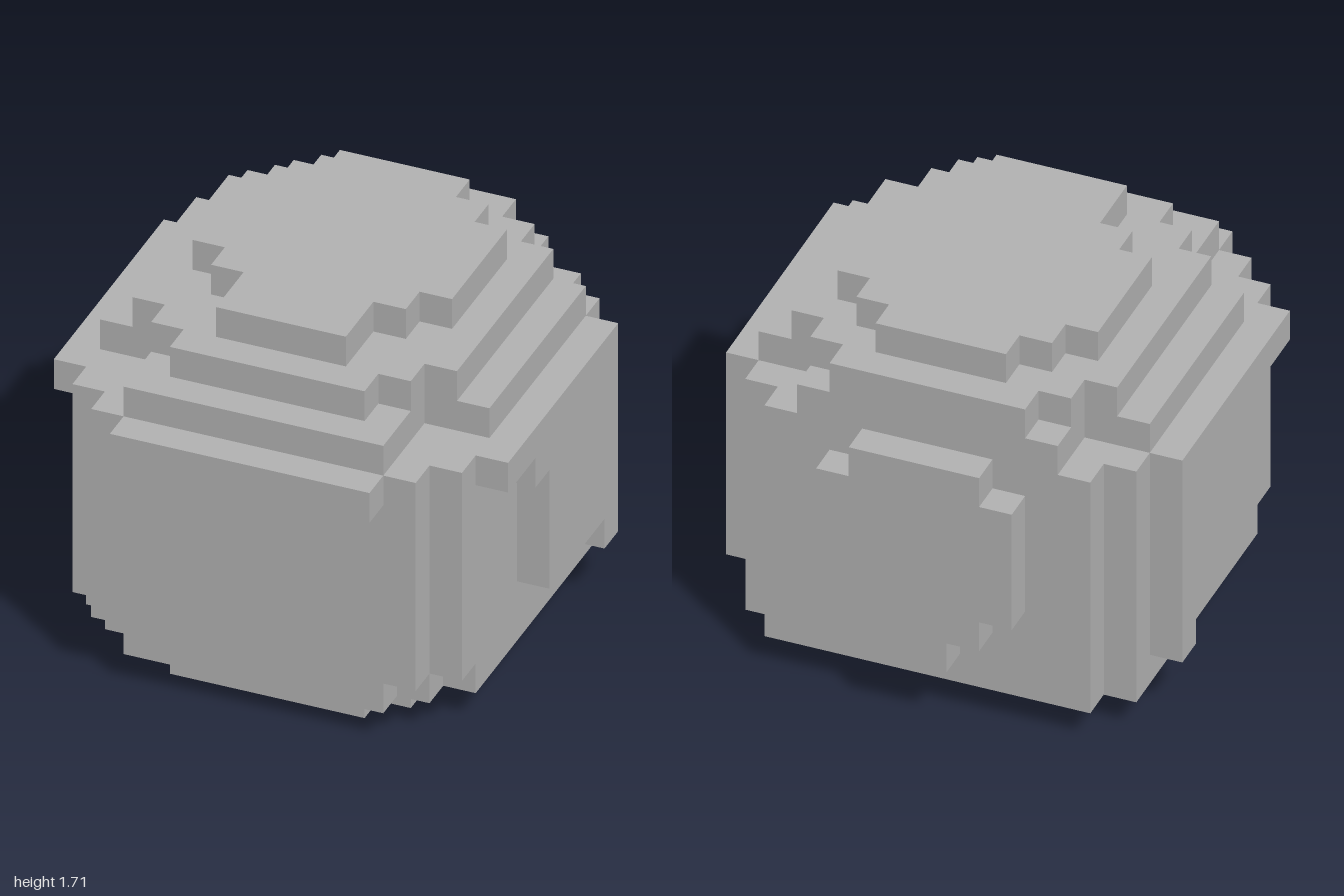
import * as THREE from 'three';

const U = 1 / 7; // one block

export function createModel() {
  const group = new THREE.Group();
  const grey = new THREE.MeshStandardMaterial({ color: 0xb2b2b2 });
  grey.name = 'grey';

  const add = (name, geometry) => {
    geometry.scale(U, U, U);
    const mesh = new THREE.Mesh(geometry, grey);
    mesh.name = name;
    group.add(mesh);
  };

  const extrude = (points, depth) =>
    new THREE.ExtrudeGeometry(
      new THREE.Shape(points.map(([a, b]) => new THREE.Vector2(a, b))),
      { depth, bevelEnabled: false }
    );

  // Mirrors a half outline across the middle
  const mirrored = (half) => [...half, ...half.map(([a, b]) => [-a, b]).reverse()];

  // Horizontal slab: half outline given as [x, z] from back to front
  const slab = (name, y0, y1, half) => {
    const g = extrude(mirrored(half.map(([x, z]) => [x, -z])), y1 - y0);
    g.rotateX(-Math.PI / 2);
    g.translate(0, y0, 0);
    add(name, g);
  };

  slab('base', 0, 1, [[4, -3], [4, 4], [3, 4], [3, 5]]);
  slab('lowerBody', 1, 2, [[5, -6], [5, -5], [6, -5], [6, 4], [5, 4], [5, 5], [4, 5], [4, 6]]);
  slab('body', 2, 9, [[5, -6], [5, -5], [6, -5], [6, 5], [5, 5], [5, 6]]);

  // Stepped dome
  slab('lowerDome', 9, 10, [[4, -6], [4, -4], [6, -4], [6, 3], [4, 3], [4, 6]]);
  slab('middleDome', 10, 11,
    [[3, -6], [3, -5], [4, -5], [4, -4], [5, -4], [5, 3], [4, 3], [4, 4], [3, 4], [3, 5]]);
  slab('topDome', 11, 12,
    [[2, -5], [2, -4], [3, -4], [3, -3], [4, -3], [4, 1], [3, 1], [3, 2], [2, 2], [2, 4]]);

  // Front brim
  const brim = new THREE.BoxGeometry(8, 1, 1);
  brim.translate(0, 8.5, 6.5);
  add('brim', brim);

  // Stepped side panels, outline as [z, y]
  const side = [[-4, 2], [-3, 2], [-3, 3], [1, 3], [1, 7], [2, 7], [2, 8], [4, 8], [4, 9], [-4, 9]];
  for (const [name, x] of [['leftPanel', 6], ['rightPanel', -7]]) {
    const g = extrude(side.map(([z, y]) => [-z, y]), 1);
    g.rotateY(Math.PI / 2);
    g.translate(x, 0, 0);
    add(name, g);
  }

  // Rounded back panel, half outline as [x, y]
  const back = extrude(
    mirrored([[1, 2], [1, 3], [2, 3], [2, 4], [3, 4], [3, 8], [2, 8], [2, 9]]), 1);
  back.translate(0, 0, -7);
  add('backPanel', back);

  return group;
}
